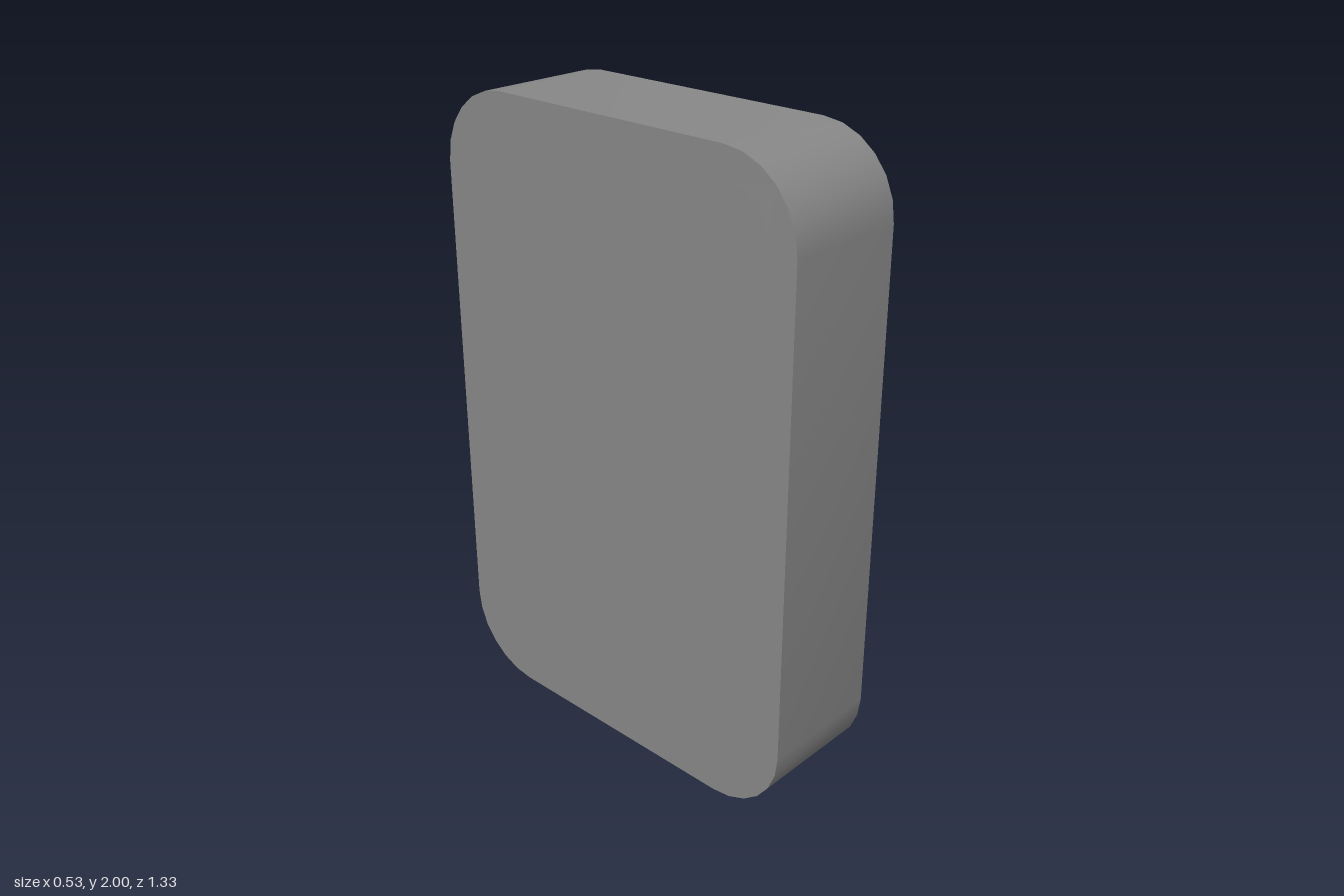
import * as THREE from 'three';
import { toCreasedNormals } from 'three/addons/utils/BufferGeometryUtils.js';

const grey = new THREE.MeshStandardMaterial({ color: 0x888888 });
const black = new THREE.MeshStandardMaterial({ color: 0x050505 });

// Rounded rectangle centred on the origin
function roundedRect(w, h, r, Type = THREE.Shape) {
  const s = new Type();
  const x = w / 2 - r, y = h / 2 - r;
  s.absarc(x, y, r, 0, Math.PI / 2);
  s.absarc(-x, y, r, Math.PI / 2, Math.PI);
  s.absarc(-x, -y, r, Math.PI, Math.PI * 1.5);
  s.absarc(x, -y, r, Math.PI * 1.5, Math.PI * 2);
  s.closePath();
  return s;
}

// Extrude a side-view outline from x0 to x1, facing +x
function slab(shape, x0, x1, curveSegments = 3) {
  const g = new THREE.ExtrudeGeometry(shape, { depth: x1 - x0, bevelEnabled: false, curveSegments });
  g.translate(0, 0, x0).rotateY(Math.PI / 2);
  return toCreasedNormals(g, 0.6);
}

export function createModel() {
  const model = new THREE.Group();
  model.name = 'safeDoor';
  const add = (name, geometry, parent = model, material = grey) => {
    const mesh = new THREE.Mesh(geometry, material);
    mesh.name = name;
    parent.add(mesh);
    return mesh;
  };

  // Casing: thick rounded frame closed at the back
  const outline = roundedRect(1.33, 2, 0.245);
  outline.holes.push(roundedRect(1.15, 1.815, 0.15, THREE.Path));
  add('frame', slab(outline, -0.265, 0.135)).position.y = 1;
  add('backPlate', slab(roundedRect(1.15, 1.815, 0.15), -0.265, -0.225)).position.y = 1;

  // Recessed front panel with a window slot
  const panel = roundedRect(1.15, 1.815, 0.15);
  const slot = [[-0.253, 0.45], [-0.253, 0.587], [0.253, 0.587], [0.253, 0.45]];
  panel.holes.push(new THREE.Path(slot.map(([x, y]) => new THREE.Vector2(x, y))));
  add('frontPanel', slab(panel, 0.05, 0.09)).position.y = 1;
  add('display', new THREE.BoxGeometry(0.02, 0.137, 0.506), model, black).position.set(0.042, 1.5185, 0);

  // Hand wheel
  const wheel = new THREE.Group();
  wheel.name = 'handWheel';
  wheel.position.y = 1.052;
  model.add(wheel);

  const rim = new THREE.TorusGeometry(0.267, 0.038, 12, 24);
  add('wheelRim', rim.rotateY(Math.PI / 2), wheel).position.x = 0.223;

  const stem = new THREE.CylinderGeometry(0.09, 0.09, 0.12, 24);
  add('stem', stem.rotateZ(-Math.PI / 2), wheel).position.x = 0.145;

  // Spoked disc: six tapered openings between hub and rim
  const disc = new THREE.Shape().absarc(0, 0, 0.267, 0, Math.PI * 2);
  for (let i = 0; i < 6; i++) {
    const a = i * Math.PI / 3;
    const corners = [[0.137, -0.032], [0.137, 0.032], [0.242, 0.058], [0.242, -0.058]];
    disc.holes.push(new THREE.Path(corners.map(([x, y]) =>
      new THREE.Vector2(x, y).rotateAround(new THREE.Vector2(), a))));
  }
  add('spokes', slab(disc, 0.19, 0.226, 16), wheel);

  const cap = new THREE.CylinderGeometry(0.062, 0.062, 0.02, 10);
  add('hubCap', cap.rotateZ(-Math.PI / 2), wheel).position.x = 0.225;

  return model;
}
